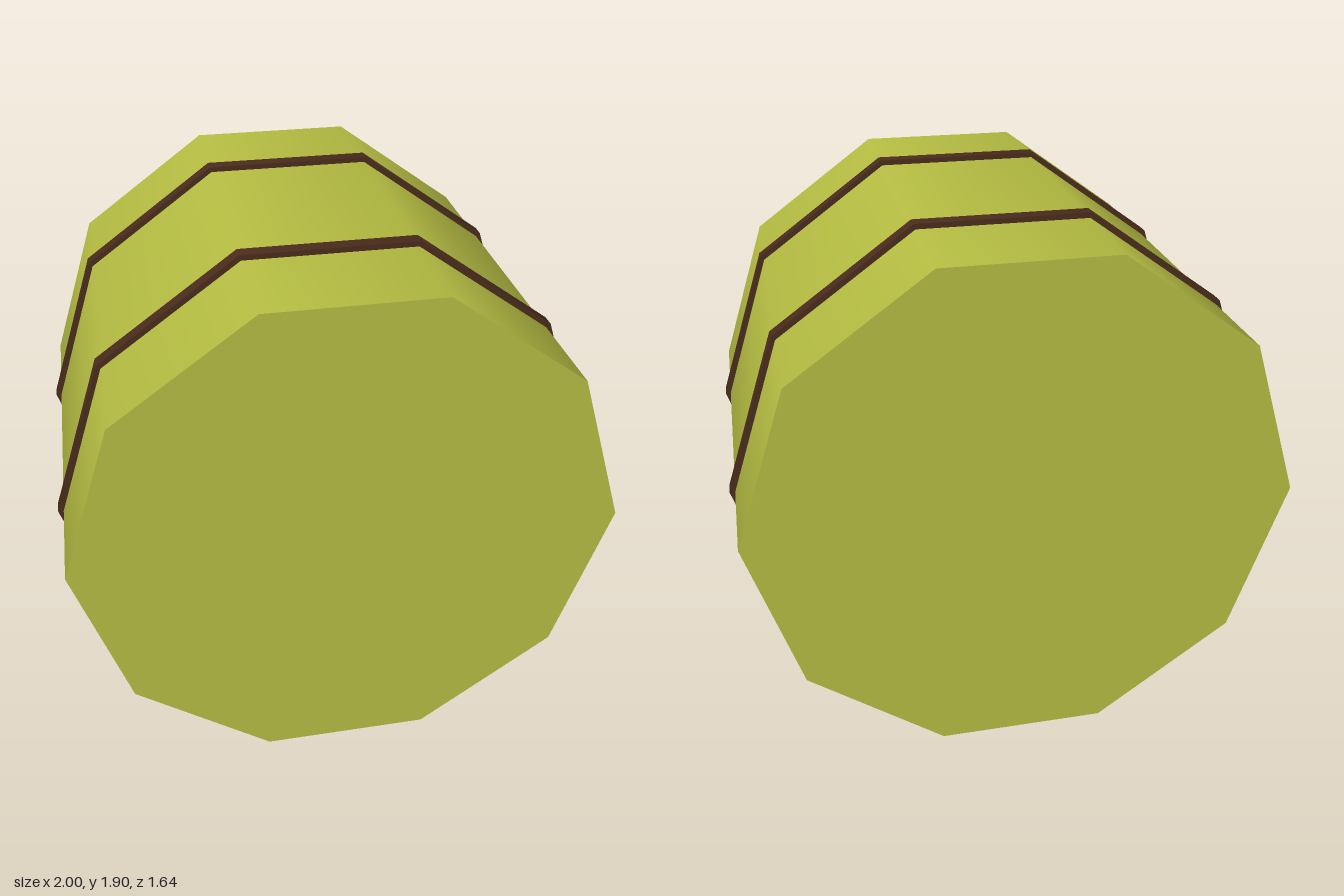
import * as THREE from 'three';

const SIDES = 10;
const CENTER_Y = Math.cos(Math.PI / SIDES); // flat side rests on the ground

// Ten-sided drum lying along z, with corners pointing to +x and -x
function drum(name, radius, length, z, material) {
  const geometry = new THREE.CylinderGeometry(radius, radius, length, SIDES, 1, false, Math.PI / 2);
  geometry.rotateX(Math.PI / 2);
  const mesh = new THREE.Mesh(geometry, material);
  mesh.name = name;
  mesh.position.set(0, CENTER_Y, z);
  return mesh;
}

export function createModel() {
  const model = new THREE.Group();
  model.name = 'baleRoll';
  const bodyMaterial = new THREE.MeshStandardMaterial({ color: 0xb5bd42 });
  const bandMaterial = new THREE.MeshStandardMaterial({ color: 0x4a2c1c });

  // Main body
  model.add(drum('body', 0.98, 1.64, 0, bodyMaterial));

  // Two straps standing slightly proud of the body
  model.add(drum('frontBand', 1, 0.052, 0.41, bandMaterial));
  model.add(drum('backBand', 1, 0.052, -0.41, bandMaterial));

  return model;
}
